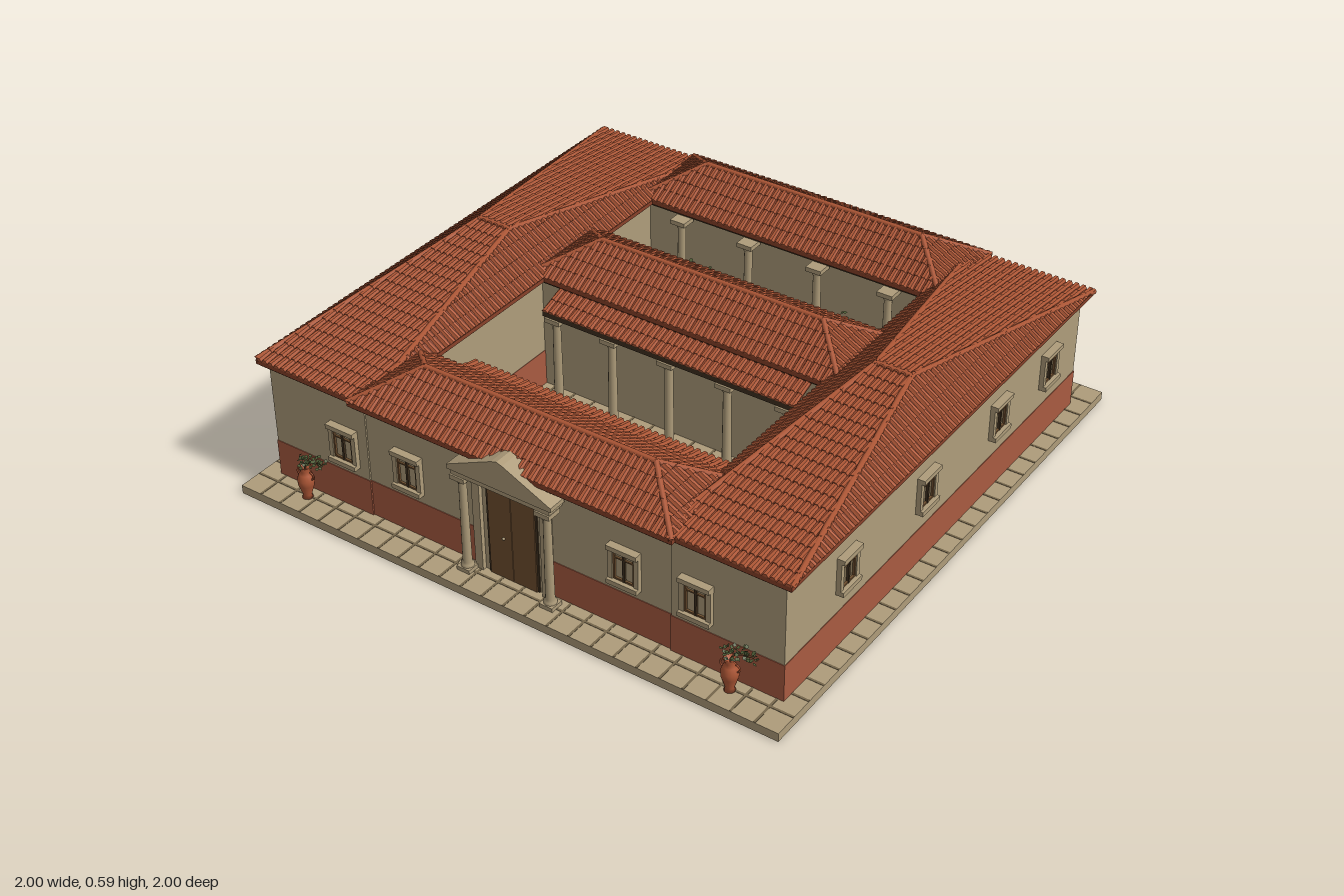
import * as THREE from 'three';
import { mergeGeometries } from 'three/addons/utils/BufferGeometryUtils.js';

const mat = (name, color, side = THREE.FrontSide) => {
  const m = new THREE.MeshStandardMaterial({ color, side });
  m.name = name;
  return m;
};
const M = {
  wall: mat('plaster', 0xae9d7b), stone: mat('stone', 0xae9c7a), grout: mat('grout', 0x75664b),
  red: mat('red dado', 0xa95b41), tile: mat('roof tile', 0xae5736), pan: mat('roof shade', 0x884129, THREE.DoubleSide),
  wood: mat('wood', 0x705030), dark: mat('dark wood', 0x40301f), leaf: mat('leaf', 0x4e5c36, THREE.DoubleSide),
  water: mat('water', 0x528a87),
};
const V = (x, y, z) => new THREE.Vector3(x, y, z);

function add(parent, name, geo, material, x = 0, y = 0, z = 0) {
  const m = new THREE.Mesh(geo, material);
  m.name = name;
  m.position.set(x, y, z);
  parent.add(m);
  return m;
}
function group(parent, name, x = 0, y = 0, z = 0) {
  const g = new THREE.Group();
  g.name = name;
  g.position.set(x, y, z);
  parent.add(g);
  return g;
}
// Box given by its limits
function box(parent, name, material, x0, x1, y0, y1, z0, z1) {
  return add(parent, name, new THREE.BoxGeometry(x1 - x0, y1 - y0, z1 - z0), material, (x0 + x1) / 2, (y0 + y1) / 2, (z0 + z1) / 2);
}
function soup(points) {
  const g = new THREE.BufferGeometry().setFromPoints(points);
  g.computeVertexNormals();
  return g;
}
let seed = 7;
const rnd = () => (seed = (seed * 16807) % 2147483647) / 2147483647;

// One roof slope: flat pan plus rows of overlapping barrel tiles, cut at the hips
function slope(parent, A, B, R0, R1) {
  const e = B.clone().sub(A), L = e.length();
  e.normalize();
  const a = R0.clone().sub(A).dot(e), b = B.clone().sub(R1).dot(e);
  const S = R0.clone().sub(A).addScaledVector(e, -a), H = S.length();
  S.normalize();
  const n = e.clone().cross(S).normalize();
  add(parent, 'roofPan', soup([A, B, R1, A, R1, R0]), M.pan);
  const pts = [], count = Math.round(L / 0.025), course = 0.05;
  const section = (u, s, w, h) => [[-w, 0], [-w / 2, h], [w / 2, h], [w, 0]].map(([p, q]) =>
    A.clone().addScaledVector(e, u + p).addScaledVector(S, s).addScaledVector(n, q));
  for (let i = 0; i < count; i++) {
    const u = (i + 0.5) * L / count;
    const end = H * Math.min(1, a > 0 ? u / a : 1, b > 0 ? (L - u) / b : 1);
    for (let s = 0; s < end; s += course) {
      const p = section(u, s, 0.0105, 0.01), q = section(u, Math.min(s + course, end), 0.009, 0.007);
      for (let j = 0; j < 3; j++) pts.push(p[j], p[j + 1], q[j + 1], p[j], q[j + 1], q[j]);
      pts.push(p[0], p[3], p[2], p[0], p[2], p[1]);
    }
  }
  add(parent, 'roofTiles', soup(pts), M.tile);
}
function rod(parent, name, p, q, r, material) {
  add(parent, name, new THREE.TubeGeometry(new THREE.LineCurve3(p, q), 1, r, 6), material);
}
// Hipped roof with its ridge along x
function hipRoof(parent, name, x0, x1, z0, z1, rx0, rx1, yR) {
  const g = group(parent, name), y = 0.465, zr = (z0 + z1) / 2;
  const a = V(x0, y, z1), b = V(x1, y, z1), c = V(x1, y, z0), d = V(x0, y, z0), l = V(rx0, yR, zr), r = V(rx1, yR, zr);
  slope(g, a, b, l, r);
  slope(g, b, c, r, r);
  slope(g, c, d, r, l);
  slope(g, d, a, l, l);
  for (const [p, q] of [[a, l], [d, l], [b, r], [c, r], [l, r]]) rod(g, 'ridgeTile', p, q, 0.01, M.tile);
  box(g, 'eaveBoard', M.pan, x0, x1, 0.45, 0.465, z0, z1);
  box(g, 'eaveBeam', M.dark, x0 + 0.012, x1 - 0.012, 0.438, 0.45, z0 + 0.012, z1 - 0.012);
}
// Barred window facing +z, centred on its origin; w and h are the outer size
function windowAt(parent, x, y, z, turn, w, h, pane) {
  const g = group(parent, 'window', x, y, z), W = w / 2, H = h / 2, f = 0.016, iw = W - f, ih = H - f;
  g.rotation.y = turn;
  box(g, 'pane', pane, -iw, iw, -ih, ih, 0, 0.005);
  for (const s of [-1, 1]) {
    box(g, 'jamb', M.stone, s * (W - f / 2) - f / 2, s * (W - f / 2) + f / 2, -H, H, 0, 0.016);
    box(g, 'ledge', M.stone, -W, W, s * (H - f / 2) - f / 2, s * (H - f / 2) + f / 2, 0, 0.026);
    box(g, 'sashSide', M.wood, s * (iw - 0.003) - 0.003, s * (iw - 0.003) + 0.003, -ih, ih, 0, 0.012);
    box(g, 'sashEnd', M.wood, -iw, iw, s * (ih - 0.003) - 0.003, s * (ih - 0.003) + 0.003, 0, 0.012);
  }
  box(g, 'crossbar', M.wood, -iw, iw, ih * 0.42, ih * 0.42 + 0.005, 0, 0.011);
  box(g, 'centreBar', M.dark, -0.004, 0.004, -ih, ih, 0, 0.013);
}
function column(parent, x, z, top, r = 0.016) {
  const g = group(parent, 'column', x, 0.03, z), h = top - 0.03;
  box(g, 'plinth', M.stone, -r * 1.6, r * 1.6, 0, 0.014, -r * 1.6, r * 1.6);
  add(g, 'shaft', new THREE.LatheGeometry([[r * 1.4, 0.014], [r * 1.4, 0.024], [r, 0.03], [r * 0.85, h - 0.035],
    [r * 1.1, h - 0.03], [r, h - 0.025], [r * 1.6, h - 0.014]].map(p => new THREE.Vector2(...p)), 12), M.stone);
  box(g, 'abacus', M.stone, -r * 1.8, r * 1.8, h - 0.016, h, -r * 1.8, r * 1.8);
}
// Loose leaves scattered in an ellipsoid
function leaves(parent, c, rx, ry, rz, count, size) {
  const pts = [];
  for (let i = 0; i < count; i++) {
    const d = V(rnd() - 0.5, rnd() - 0.5, rnd() - 0.5).normalize().multiplyScalar(Math.cbrt(rnd()));
    const p = V(c.x + d.x * rx, c.y + d.y * ry, c.z + d.z * rz);
    const u = V(rnd() - 0.5, (rnd() - 0.5) * 0.6, rnd() - 0.5).normalize();
    const v = u.clone().cross(V(rnd() - 0.5, 1, rnd() - 0.5)).normalize().multiplyScalar(size * 0.45);
    u.multiplyScalar(size);
    const q = p.clone().add(u), m = p.clone().addScaledVector(u, 0.5);
    pts.push(p, m.clone().add(v), q, p, q, m.clone().sub(v));
  }
  add(parent, 'leaves', soup(pts), M.leaf);
}
function pottedPlant(parent, x, z) {
  const g = group(parent, 'pottedPlant', x, 0.03, z);
  add(g, 'jar', new THREE.LatheGeometry([[0, 0], [0.018, 0], [0.014, 0.012], [0.026, 0.05], [0.028, 0.07], [0.021, 0.09],
    [0.014, 0.1], [0.021, 0.116], [0.015, 0.116], [0, 0.105]].map(p => new THREE.Vector2(...p)), 16), M.tile);
  for (const s of [-1, 1]) {
    const h = add(g, 'handle', new THREE.TorusGeometry(0.013, 0.003, 6, 10, Math.PI), M.tile, s * 0.02, 0.088, 0);
    h.rotation.z = -s * Math.PI / 2;
  }
  add(g, 'stem', new THREE.TubeGeometry(new THREE.QuadraticBezierCurve3(V(0, 0.1, 0), V(0, 0.15, 0), V(0.08, 0.155, 0)), 8, 0.003, 5), M.wood);
  leaves(g, V(-0.005, 0.135, 0), 0.03, 0.02, 0.022, 20, 0.015);
  leaves(g, V(0.045, 0.152, 0), 0.05, 0.017, 0.022, 42, 0.015);
}
function tree(parent, x, z) {
  const g = group(parent, 'tree', x, 0.03, z);
  add(g, 'trunk', new THREE.CylinderGeometry(0.009, 0.015, 0.2, 8), M.wood, 0, 0.1, 0);
  for (let i = 0; i < 9; i++) {
    const t = i * 2.4, r = 0.065 + 0.03 * rnd();
    rod(g, 'branch', V(0, 0.17, 0), V(Math.cos(t) * r, 0.22 + 0.08 * rnd(), Math.sin(t) * r), 0.004, M.wood);
    leaves(g, V(Math.cos(t) * r * 0.9, 0.27, Math.sin(t) * r * 0.9), 0.036, 0.05, 0.036, 19, 0.018);
  }
}

export function createModel() {
  const root = new THREE.Group();
  root.name = 'courtyardHouse';

  // Paved base
  box(root, 'baseSlab', M.stone, -1, 1, 0, 0.03, -1, 1);
  const joints = [];
  for (let i = 1; i < 25; i++) {
    const p = -1 + i * 0.08;
    joints.push(new THREE.BoxGeometry(0.008, 0.002, 1.998).translate(p, 0.0302, 0), new THREE.BoxGeometry(1.998, 0.002, 0.008).translate(0, 0.0302, p));
  }
  add(root, 'pavingJoints', mergeGeometries(joints), M.grout);

  // Side wings
  for (const s of [-1, 1]) {
    const g = group(root, s > 0 ? 'leftWing' : 'rightWing');
    add(g, 'wingWall', new THREE.BoxGeometry(0.38, 0.42, 1.76), M.wall, s * 0.75, 0.24, 0);
    add(g, 'wingDado', new THREE.BoxGeometry(0.384, 0.13, 1.764), M.red, s * 0.75, 0.095, 0);
    const [i, o] = [[0.53, 0.69], [0.97, 0.81]];
    if (s > 0) hipRoof(g, 'wingRoof', i[0], o[0], -0.905, 0.905, i[1], o[1], 0.582);
    else hipRoof(g, 'wingRoof', -o[0], -i[0], -0.905, 0.905, -o[1], -i[1], 0.582);
    for (const z of [0.565, 0.115, -0.335, -0.67]) windowAt(g, s * 0.94, 0.297, z, s * Math.PI / 2, 0.102, 0.13, M.grout);
    windowAt(g, s * 0.65, 0.262, 0.88, 0, 0.107, 0.138, M.stone);
    windowAt(root, s * 0.4, 0.262, 0.875, 0, 0.107, 0.138, M.stone);
    pottedPlant(root, s * 0.79, 0.925);
    pottedPlant(root, s * 0.46, -0.575);
    tree(root, s * 0.28, -0.41);
  }

  // Front, middle and back ranges
  for (const [name, z0, z1, c] of [['frontRange', 0.61, 0.875, 0.75], ['middleRange', -0.28, 0, -0.14], ['backRange', -0.875, -0.61, -0.75]]) {
    const g = group(root, name);
    box(g, 'rangeWall', M.wall, -0.56, 0.56, 0.03, 0.45, z0, z1);
    hipRoof(g, 'rangeRoof', -0.59, 0.59, c - 0.17, c + 0.17, -0.42, 0.42, 0.563);
  }
  box(root, 'frontDado', M.red, -0.56, 0.56, 0.03, 0.16, 0.87, 0.877);
  for (const x of [-0.34, 0, 0.34]) windowAt(root, x, 0.262, -0.875, Math.PI, 0.107, 0.138, M.grout);

  // Lean-to colonnades of the pool court
  for (const [eave, top, s] of [[0.46, 0.61, -1], [0.11, 0, 1]]) {
    const g = group(root, 'colonnade');
    slope(g, V(-0.48 * s, 0.4, eave), V(0.48 * s, 0.4, eave), V(-0.48 * s, 0.44, top), V(0.48 * s, 0.44, top));
    add(g, 'colonnadeBeam', new THREE.BoxGeometry(0.96, 0.018, 0.03), M.dark, 0, 0.389, eave - s * 0.018);
    for (let i = -2; i <= 2; i++) column(g, i * 0.22, eave - s * 0.025, 0.38);
  }
  for (const x of [-0.405, -0.135, 0.135, 0.405]) column(root, x, -0.575, 0.438);

  // Pool with stone rim
  const pool = group(root, 'pool');
  for (const s of [-1, 1]) {
    add(pool, 'rimSide', new THREE.BoxGeometry(0.02, 0.02, 0.32), M.stone, s * 0.175, 0.04, 0.29);
    add(pool, 'rimEnd', new THREE.BoxGeometry(0.33, 0.02, 0.02), M.stone, 0, 0.04, 0.29 + s * 0.15);
  }
  box(pool, 'poolWater', M.water, -0.165, 0.165, 0.03, 0.04, 0.15, 0.43);

  // Stone tables and stools
  for (const s of [-1, 1]) {
    const g = group(root, 'seating', s * 0.36, 0.03, 0.28);
    box(g, 'tableTop', M.stone, -0.09, 0.09, 0.06, 0.075, -0.03, 0.03);
    for (const t of [-1, 1]) box(g, 'tableLeg', M.stone, t * 0.06 - 0.012, t * 0.06 + 0.012, 0, 0.06, -0.022, 0.022);
    box(g, 'stool', M.stone, s * 0.078 - 0.03, s * 0.078 + 0.03, 0, 0.085, 0, 0.058);
  }

  // Entrance porch
  const porch = group(root, 'porch');
  box(porch, 'doorFrame', M.stone, -0.115, 0.115, 0.03, 0.385, 0.87, 0.885);
  box(porch, 'doorSurround', M.dark, -0.094, 0.094, 0.03, 0.354, 0.88, 0.889);
  for (const s of [-1, 1]) {
    box(porch, 'doorLeaf', M.wood, s * 0.0435 - 0.0425, s * 0.0435 + 0.0425, 0.03, 0.349, 0.885, 0.893);
    box(porch, 'pilaster', M.stone, s * 0.125 - 0.014, s * 0.125 + 0.014, 0.03, 0.385, 0.87, 0.9);
    column(porch, s * 0.155, 0.918, 0.385, 0.015);
  }
  add(porch, 'doorHandle', new THREE.SphereGeometry(0.005, 8, 6), M.stone, -0.03, 0.18, 0.895);
  box(porch, 'entablature', M.stone, -0.18, 0.18, 0.385, 0.405, 0.87, 0.94);
  const gable = new THREE.Shape([[-0.19, 0.403], [0.19, 0.403], [0.19, 0.418], [0.02, 0.497], [0, 0.503], [-0.02, 0.497], [-0.19, 0.418]].map(p => new THREE.Vector2(...p)));
  add(porch, 'pediment', new THREE.ExtrudeGeometry(gable, { depth: 0.065, bevelEnabled: false }), M.stone, 0, 0, 0.88);
  return root;
}
